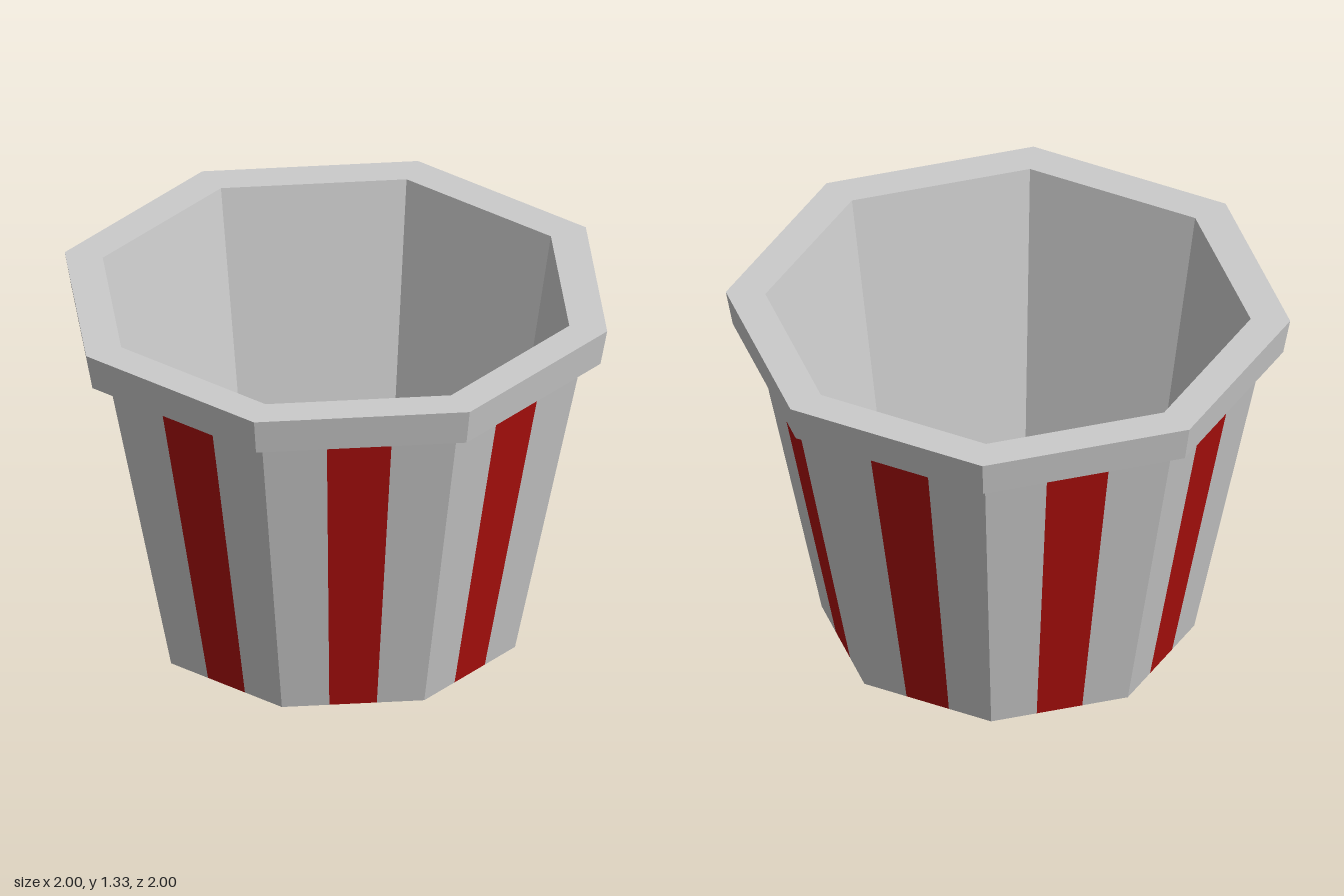
import * as THREE from 'three';

const SIDES = 8;
const BOTTOM_R = 0.66, TOP_R = 0.905, WALL_TOP = 1.19, RIM_TOP = 1.325;
const INNER_BOTTOM_R = 0.645, INNER_TOP_R = 0.86, FLOOR_Y = 0.02;

const grey = new THREE.MeshStandardMaterial({ color: 0xcccccc, flatShading: true });
const red = new THREE.MeshStandardMaterial({ color: 0xae0f0c, flatShading: true });

function addMesh(group, name, geometry, material) {
  const mesh = new THREE.Mesh(geometry, material);
  mesh.name = name;
  group.add(mesh);
  return mesh;
}

// Octagonal ring swept from [radius, y] points
function ring(points) {
  return new THREE.LatheGeometry(points.map(([r, y]) => new THREE.Vector2(r, y)), SIDES).toNonIndexed();
}

// Corner of the octagon; the first one lies on +z
function corner(i, radius, y) {
  const a = (i / SIDES) * Math.PI * 2;
  return new THREE.Vector3(Math.sin(a) * radius, y, Math.cos(a) * radius);
}

// One vertical band on every side, spanning fractions from..to of its width
function bands(spans) {
  const points = [];
  for (let i = 0; i < SIDES; i++) {
    const at = (t, r, y) => corner(i, r, y).lerp(corner(i + 1, r, y), t);
    for (const [from, to] of spans) {
      const a = at(from, BOTTOM_R, 0), b = at(to, BOTTOM_R, 0);
      const c = at(to, TOP_R, WALL_TOP), d = at(from, TOP_R, WALL_TOP);
      points.push(a, b, c, a, c, d);
    }
  }
  const geometry = new THREE.BufferGeometry().setFromPoints(points);
  geometry.computeVertexNormals();
  return geometry;
}

export function createModel() {
  const group = new THREE.Group();
  group.name = 'stripedBucket';

  // Tapered outer wall: the middle third of each side is a red stripe
  addMesh(group, 'outerWall', bands([[0, 1 / 3], [2 / 3, 1]]), grey);
  addMesh(group, 'redStripes', bands([[1 / 3, 2 / 3]]), red);

  // Overhanging rim with underside, flared outer face and flat top
  addMesh(group, 'rim', ring([
    [TOP_R, WALL_TOP], [0.975, WALL_TOP], [1, RIM_TOP], [INNER_TOP_R, RIM_TOP],
  ]), grey);

  // Hollow inside
  addMesh(group, 'innerWall', ring([[INNER_TOP_R, RIM_TOP], [INNER_BOTTOM_R, FLOOR_Y]]), grey);
  const floor = addMesh(group, 'innerFloor', new THREE.CircleGeometry(INNER_BOTTOM_R, SIDES), grey);
  floor.rotation.x = -Math.PI / 2;
  floor.position.y = FLOOR_Y;

  // Underside
  const base = addMesh(group, 'base', new THREE.CircleGeometry(BOTTOM_R, SIDES), grey);
  base.rotation.x = Math.PI / 2;

  return group;
}
